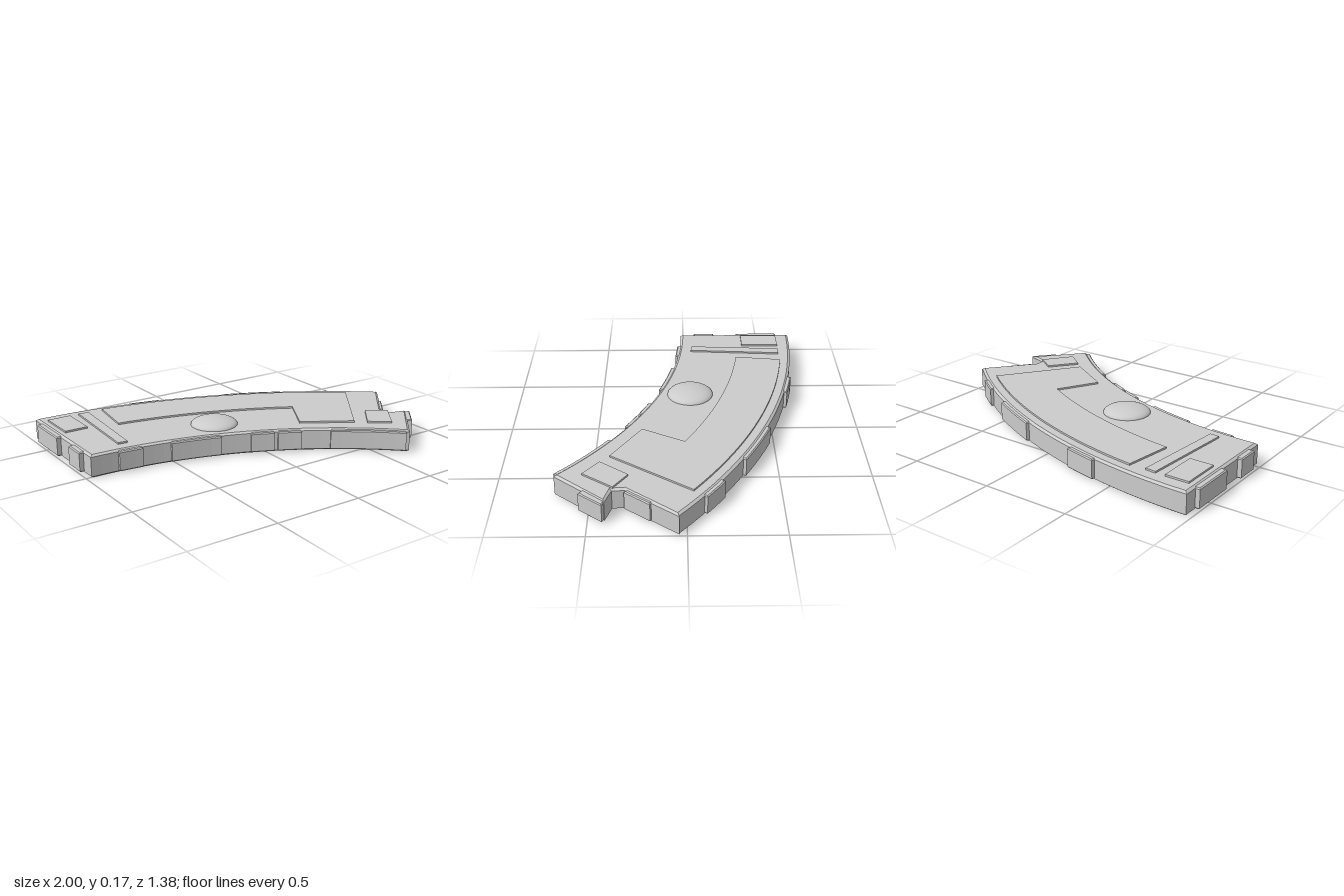
import * as THREE from 'three';

const CX = -0.975, CZ = 2.325; // centre of the curve the slab follows
const mat = new THREE.MeshStandardMaterial({ color: 0xcccccc });

// point on the plan at a radius and angle (degrees) from the straight end
const polar = (r, deg) => {
  const a = THREE.MathUtils.degToRad(deg);
  return [CX + r * Math.sin(a), CZ - r * Math.cos(a)];
};

function arc(r, a0, a1) {
  const n = Math.max(2, Math.ceil(Math.abs(a1 - a0) / 1.5));
  return Array.from({ length: n + 1 }, (_, i) => polar(r, a0 + (a1 - a0) * i / n));
}

// flat piece with chamfered rims from an (x, z) outline
function slab(name, outline, y0, y1, bevelSize = 0, bevelThickness = bevelSize) {
  const shape = new THREE.Shape(outline.map(([x, z]) => new THREE.Vector2(x, z)));
  const geo = new THREE.ExtrudeGeometry(shape, {
    depth: y1 - y0 - 2 * bevelThickness,
    bevelEnabled: bevelSize > 0,
    bevelSize, bevelThickness, bevelOffset: -bevelSize, bevelSegments: 1,
  });
  geo.rotateX(Math.PI / 2).translate(0, y1 - bevelThickness, 0);
  const mesh = new THREE.Mesh(geo, mat);
  mesh.name = name;
  return mesh;
}

export function createModel() {
  const model = new THREE.Group();
  model.name = 'curvedSlab';
  const TOP = 0.128, PLATE = 0.138;

  // main curved body with a stepped far end
  model.add(slab('body', [
    ...arc(3.015, 0, 40.6),
    [1.0, 0.04], [0.885, 0.185], [0.78, 0.315], [0.785, 0.38], [0.885, 0.412], [0.655, 0.685],
    ...arc(2.308, 44.4, 0),
  ], 0, TOP, 0.014, 0.01));

  // raised panels round the outer and inner walls
  const sector = (r0, r1, a0, a1) => [...arc(r1, a0, a1), ...arc(r0, a1, a0)];
  [[11, 14.7], [22.5, 29.3], [33.6, 36.8]].forEach(([a, b]) =>
    model.add(slab('outerPanel', sector(2.96, 3.033, a, b), 0.01, 0.122, 0.006)));
  [[3.9, 7.3], [11.4, 18.5], [22.7, 26], [26.5, 29.8], [33.9, 44.4]].forEach(([a, b]) =>
    model.add(slab('innerPanel', sector(2.36, 2.29, a, b), 0.01, 0.122, 0.006)));

  // raised panels on the straight end
  [[-0.61, -0.35], [-0.2, -0.07]].forEach(([z0, z1]) =>
    model.add(slab('endPanel', [[-1, z0], [-0.94, z0], [-0.94, z1], [-1, z1]], 0.01, 0.122, 0.006)));

  // raised panels on the stepped end
  model.add(slab('steppedEndPanel',
    [[0.9, 0.185], [0.795, 0.318], [0.755, 0.285], [0.86, 0.155]], 0.01, 0.122, 0.006));
  model.add(slab('steppedEndPanel',
    [[0.905, 0.425], [0.805, 0.55], [0.75, 0.505], [0.85, 0.4]], 0.01, 0.122, 0.006));

  // thin plates on the top
  const plates = {
    cornerPlate: [[-0.935, -0.605], [-0.8, -0.605], [-0.8, -0.375], [-0.935, -0.375]],
    slimPlate: [[-0.745, -0.605], [-0.685, -0.6], [-0.725, -0.045], [-0.78, -0.05]],
    hookPlate: [...arc(2.955, 7.4, 37), [0.49, 0.405], [0.225, 0.24], ...arc(2.675, 29.8, 7.4)],
    farPlate: [[0.665, 0.3], [0.775, 0.375], [0.655, 0.54], [0.545, 0.455]],
  };
  for (const [name, outline] of Object.entries(plates)) {
    model.add(slab(name, outline, TOP - 0.02, PLATE));
  }

  // flattened dome
  const dome = new THREE.Mesh(new THREE.SphereGeometry(1, 48, 16, 0, Math.PI * 2, 0, Math.PI / 2), mat);
  dome.name = 'dome';
  dome.scale.set(0.133, 0.043, 0.133);
  dome.position.set(-0.178, TOP - 0.001, -0.032);
  model.add(dome);
  return model;
}
